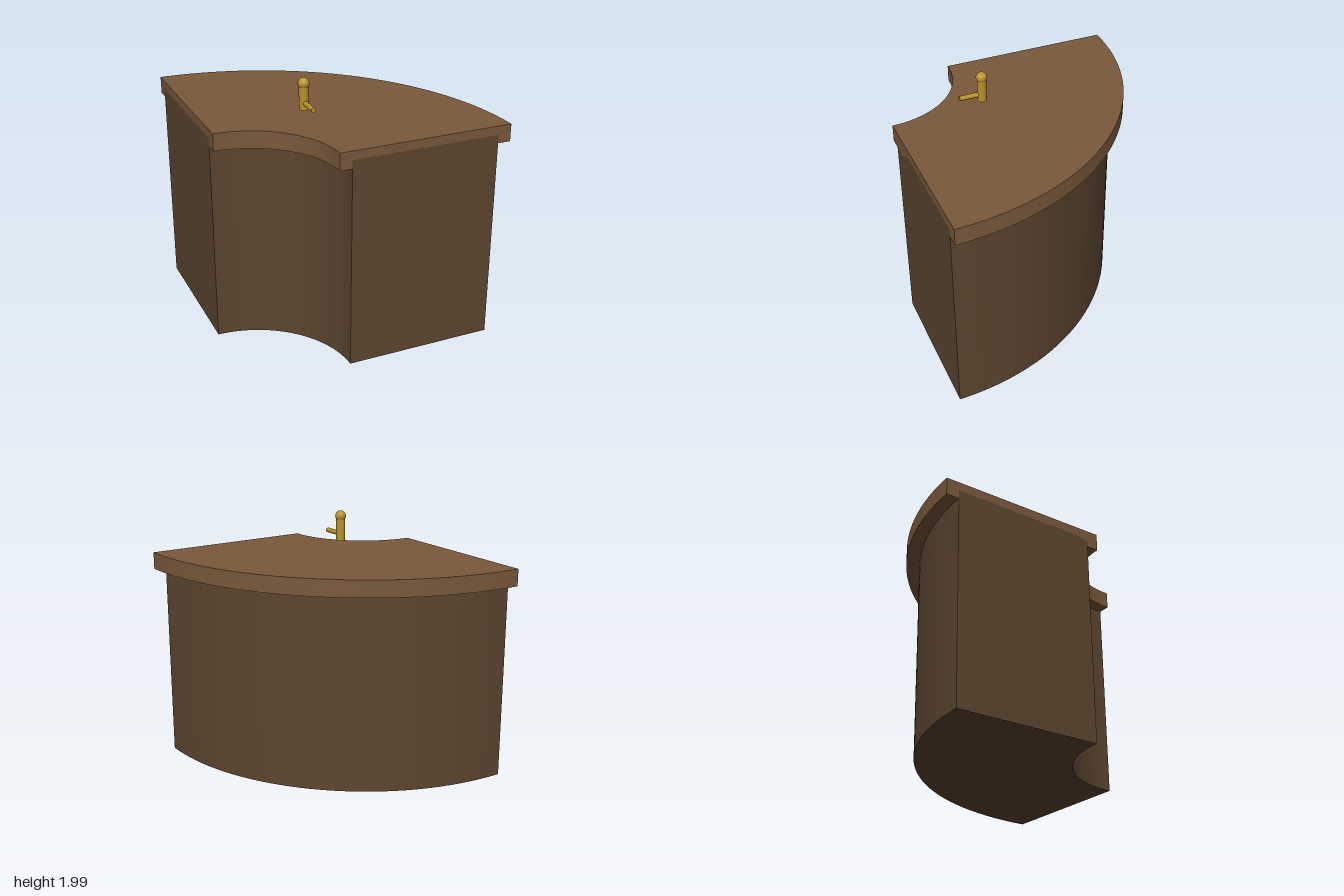
import * as THREE from 'three';
import { toCreasedNormals } from 'three/addons/utils/BufferGeometryUtils.js';

const wood = new THREE.MeshStandardMaterial({ color: 0x5c4530 });
const topWood = new THREE.MeshStandardMaterial({ color: 0x7a593c });
const brass = new THREE.MeshStandardMaterial({ color: 0xb8922a });

// Quarter ring slab around the front right corner, from y0 to y1
function quarterRing(name, inner, outer, y0, y1, material) {
  const shape = new THREE.Shape();
  shape.moveTo(inner, 0);
  shape.lineTo(outer, 0);
  shape.absarc(0, 0, outer, 0, Math.PI / 2, false);
  shape.lineTo(0, inner);
  shape.absarc(0, 0, inner, Math.PI / 2, 0, true);
  const extruded = new THREE.ExtrudeGeometry(shape, {
    depth: y1 - y0, bevelEnabled: false, curveSegments: 32,
  });
  extruded.rotateX(-Math.PI / 2);
  const mesh = new THREE.Mesh(toCreasedNormals(extruded, 0.5), material);
  mesh.name = name;
  mesh.position.set(-1, y0, 1);
  return mesh;
}

// Tap: upright post with a ball knob and a spout to the front
function createTap() {
  const tap = new THREE.Group();
  tap.name = 'tap';
  const add = (name, geometry, y, z) => {
    const mesh = new THREE.Mesh(geometry, brass);
    mesh.name = name;
    mesh.position.set(0, y, z);
    tap.add(mesh);
  };
  add('tapPost', new THREE.CylinderGeometry(0.035, 0.035, 0.195, 16), 1.853, 0);
  add('tapKnob', new THREE.SphereGeometry(0.043, 16, 12), 1.95, 0);
  add('tapSpout', new THREE.CylinderGeometry(0.019, 0.019, 0.18, 12).rotateX(Math.PI / 2), 1.808, 0.09);
  tap.position.set(-0.303, 0, 0.303);
  return tap;
}

export function createModel() {
  const model = new THREE.Group();
  model.name = 'cornerBar';
  model.add(
    quarterRing('barBody', 0.76, 1.9, 0, 1.62, wood),
    quarterRing('counterTop', 0.667, 2, 1.555, 1.687, topWood),
    createTap(),
  );
  return model;
}
